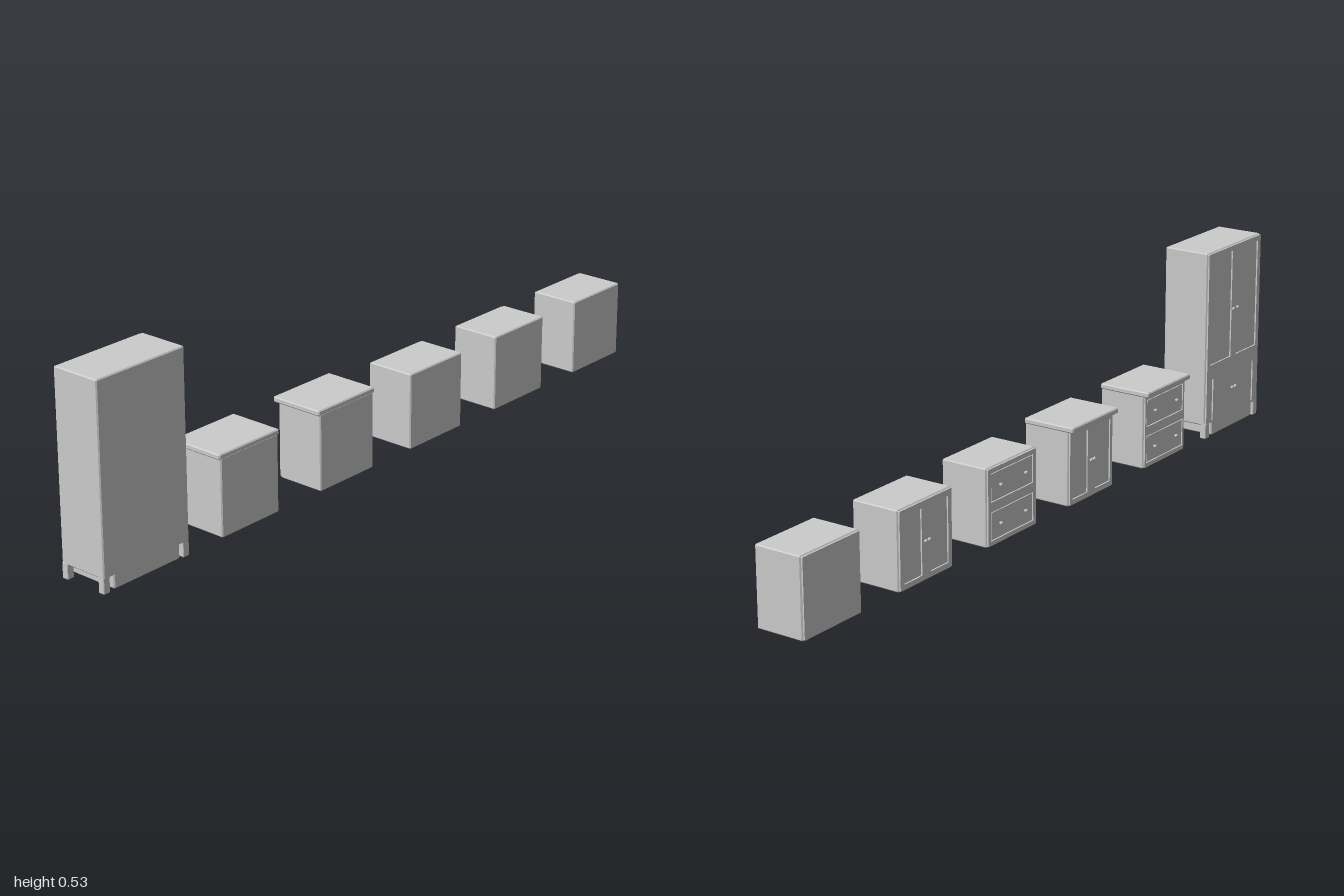
import * as THREE from 'three';

const grey = new THREE.MeshStandardMaterial({ color: 0xcccccc });
grey.name = 'plain grey';

const BACK = 0.075, FRONT = -0.063, BEVEL = 0.003, FRAME = 0.004;

function add(parent, name, geometry, x = 0, y = 0, z = 0) {
  const mesh = new THREE.Mesh(geometry, grey);
  mesh.name = name;
  mesh.position.set(x, y, z);
  parent.add(mesh);
  return mesh;
}

// Rectangle in the z/y plane with small cut corners
function outline(z0, z1, y0, y1, c) {
  return new THREE.Shape([
    [z0 + c, y0], [z1 - c, y0], [z1, y0 + c], [z1, y1 - c],
    [z1 - c, y1], [z0 + c, y1], [z0, y1 - c], [z0, y0 + c],
  ].map(([z, y]) => new THREE.Vector2(z, y)));
}

function rectHole([z0, z1, y0, y1]) {
  return new THREE.Path([[z0, y0], [z0, y1], [z1, y1], [z1, y0]]
    .map(([z, y]) => new THREE.Vector2(z, y)));
}

// Chamfered slab spanning x0..x1, running front to back along x
function slab(parent, name, x0, x1, z0, z1, y0, y1, b = BEVEL) {
  const g = new THREE.ExtrudeGeometry(outline(z0 + b, z1 - b, y0 + b, y1 - b, b * 0.4), {
    depth: x1 - x0 - 2 * b, bevelEnabled: true, bevelThickness: b, bevelSize: b, bevelSegments: 1,
  });
  g.rotateY(-Math.PI / 2);
  return add(parent, name, g, x1 - b);
}

// Body with a face frame whose openings leave recessed panels
function carcass(parent, w, y0, y1, openings) {
  slab(parent, 'carcass', FRONT + FRAME, BACK, -w / 2, w / 2, y0, y1);
  const shape = outline(-w / 2 + BEVEL, w / 2 - BEVEL, y0 + BEVEL, y1 - BEVEL, 0.001);
  shape.holes = openings.map(rectHole);
  const g = new THREE.ExtrudeGeometry(shape, { depth: FRAME, bevelEnabled: false });
  g.rotateY(-Math.PI / 2);
  add(parent, 'faceFrame', g, FRONT + FRAME);
}

// Round knob on a short stem
function knob(parent, y, z) {
  const stem = new THREE.CylinderGeometry(0.002, 0.002, 0.006, 10).rotateZ(Math.PI / 2);
  add(parent, 'knobStem', stem, FRONT - 0.002, y, z);
  add(parent, 'knob', new THREE.SphereGeometry(0.005, 14, 10).scale(0.8, 1, 1), FRONT - 0.005, y, z);
}

function cabinet(model, name, z, style, counter) {
  const g = new THREE.Group();
  g.name = name;
  g.position.z = z;
  const w = counter ? 0.2 : 0.208;
  const openings = [];
  if (style === 'drawers') {
    for (const y of [0.056, 0.157]) {
      openings.push([-0.09, 0.09, y - 0.038, y + 0.038]);
    }
  } else if (style === 'doors') {
    openings.push([-0.087, -0.017, 0.02, 0.19], [0.017, 0.087, 0.02, 0.19]);
  }
  carcass(g, w, 0.003, 0.21, openings);
  if (style === 'drawers') {
    // Drawer fronts sit inside the openings with a thin gap round them
    for (const y of [0.056, 0.157]) {
      add(g, 'drawerFront', new THREE.BoxGeometry(0.004, 0.07, 0.174), FRONT + 0.003, y, 0);
      for (const s of [-1, 1]) knob(g, y, s * 0.053);
    }
  } else if (style === 'doors') {
    for (const s of [-1, 1]) knob(g, 0.106, s * 0.007);
  }
  if (counter) slab(g, 'countertop', -0.077, BACK, -0.105, 0.105, 0.205, 0.22);
  model.add(g);
}

function wardrobe(model) {
  const g = new THREE.Group();
  g.name = 'wardrobe';
  g.position.z = 0.861;
  const openings = [];
  for (const s of [-1, 1]) {
    const span = (a, b) => (s < 0 ? [-b, -a] : [a, b]);
    openings.push([...span(0.014, 0.121), 0.208, 0.51]);   // door panels
    openings.push([...span(0.102, 0.11), 0.048, 0.165]);   // slots beside the drawer
  }
  carcass(g, 0.278, 0.038, 0.527, openings);
  slab(g, 'baseBox', FRONT, BACK, -0.107, 0.107, 0.003, 0.045);
  // Corner legs
  for (const sz of [-1, 1]) {
    for (const x of [FRONT + 0.009, BACK - 0.01]) {
      slab(g, 'leg', x - 0.009, x + 0.009, sz * 0.129 - 0.01, sz * 0.129 + 0.01, 0, 0.042, 0.0015);
    }
    knob(g, 0.345, sz * 0.011);
    knob(g, 0.117, sz * 0.008);
  }
  model.add(g);
}

export function createModel() {
  const model = new THREE.Group();
  model.name = 'cabinetRow';
  wardrobe(model);
  cabinet(model, 'counterDrawerCabinet', 0.51, 'drawers', true);
  cabinet(model, 'counterDoorCabinet', 0.157, 'doors', true);
  cabinet(model, 'drawerCabinet', -0.194, 'drawers', false);
  cabinet(model, 'doorCabinet', -0.545, 'doors', false);
  cabinet(model, 'plainCabinet', -0.896, 'plain', false);
  return model;
}
